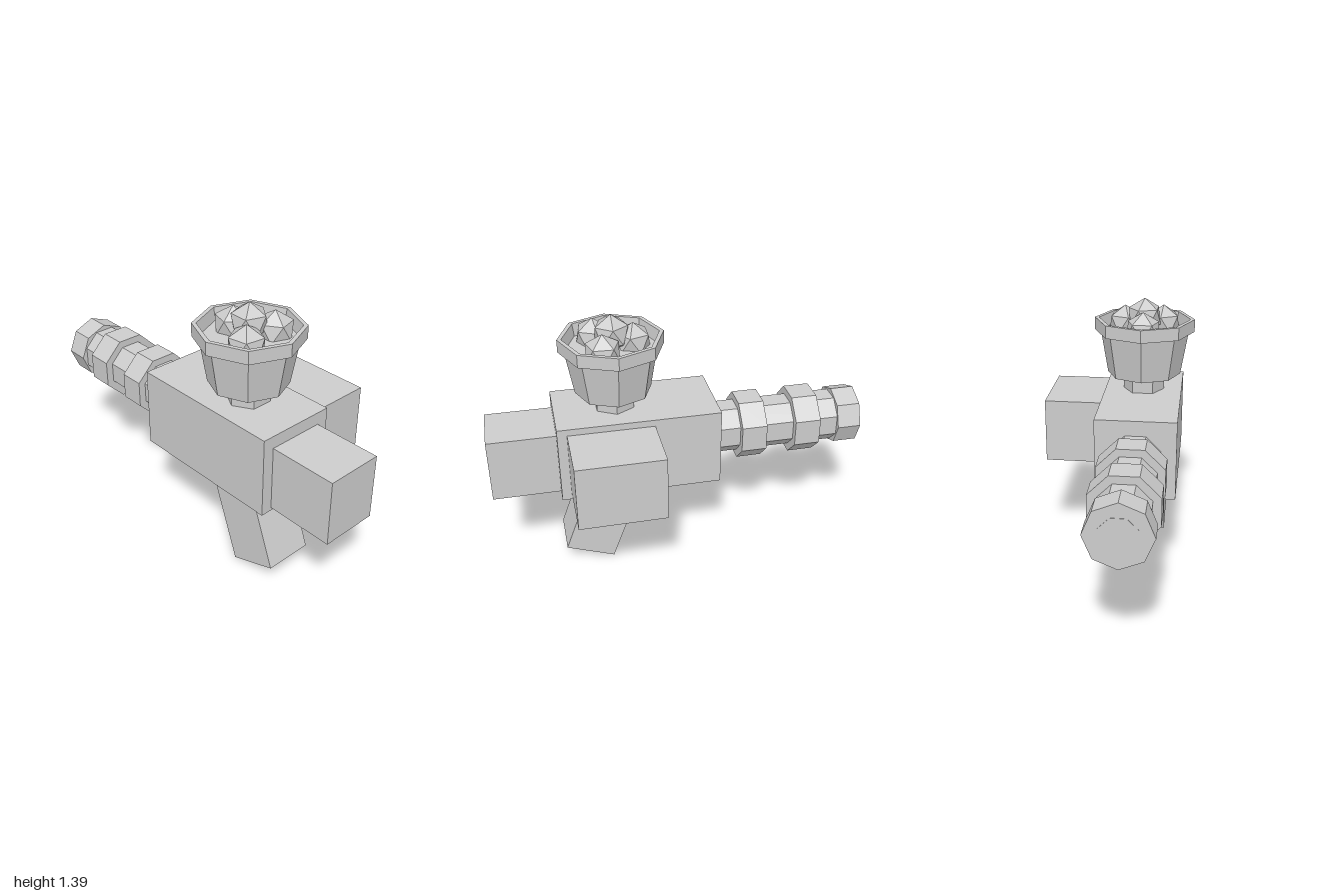
import * as THREE from 'three';

export function createModel() {
  const group = new THREE.Group();
  const grey = new THREE.MeshStandardMaterial({ color: 0xcccccc, flatShading: true });
  grey.name = 'plain grey';
  const cx = -0.128, barrelY = 0.692, cupZ = 0.333;

  const add = (name, geometry, x, y, z) => {
    const mesh = new THREE.Mesh(geometry, grey);
    mesh.name = name;
    mesh.position.set(x, y, z);
    group.add(mesh);
    return mesh;
  };
  // Box given by its limits on each axis
  const block = (name, [x0, x1], [y0, y1], [z0, z1]) =>
    add(name, new THREE.BoxGeometry(x1 - x0, y1 - y0, z1 - z0),
      (x0 + x1) / 2, (y0 + y1) / 2, (z0 + z1) / 2);

  // Body, stock and side box
  block('body', [-0.335, 0.08], [0.482, 0.9], [-0.19, 0.65]);
  block('stock', [-0.276, 0.02], [0.498, 0.835], [0.65, 1]);
  block('sideBox', [0.08, 0.392], [0.52, 0.865], [0.155, 0.6]);

  // Slanted grip, placed from the middle of its lower end
  const tilt = 0.356, gripLength = 0.494;
  const grip = add('grip', new THREE.BoxGeometry(0.256, gripLength, 0.272), cx,
    0.0525 + Math.cos(tilt) * gripLength / 2, 0.5175 - Math.sin(tilt) * gripLength / 2);
  grip.rotation.x = -tilt;

  // Eight-sided barrel sections along z: name, front, back, radius, turn
  const flat = Math.PI / 8;
  [
    ['barrel', -0.19, -0.86, 0.139, flat],
    ['barrelRing', -0.318, -0.453, 0.181, flat],
    ['barrelRing', -0.612, -0.75, 0.181, flat],
    ['muzzle', -0.86, -0.986, 0.158, 0],
    ['muzzlePlate', -0.984, -0.988, 0.094, flat],
  ].forEach(([name, z0, z1, r, turn]) => {
    const g = new THREE.CylinderGeometry(r, r, z0 - z1, 8);
    g.rotateY(turn).rotateX(-Math.PI / 2);
    add(name, g, cx, barrelY, (z0 + z1) / 2);
  });

  // Neck, tapered cup and raised rim
  add('neck', new THREE.CylinderGeometry(0.11, 0.11, 0.09, 6, 1, false, Math.PI / 2), cx, 0.945, cupZ);
  add('cup', new THREE.CylinderGeometry(0.237, 0.197, 0.235, 8), cx, 1.1075, cupZ);
  const rim = [[0.267, 0], [0.267, 0.067], [0.245, 0.067], [0.234, 0], [0.267, 0]]
    .map(([r, y]) => new THREE.Vector2(r, y));
  add('cupRim', new THREE.LatheGeometry(rim, 8), cx, 1.223, cupZ);

  // Faceted balls heaped in the cup, each with a corner pointing up
  const ball = new THREE.IcosahedronGeometry(0.096, 0);
  ball.rotateX(-Math.atan((1 + Math.sqrt(5)) / 2));
  [
    [cx, 1.304, 0.33, 0.3],
    [cx, 1.252, 0.222, 0.0],
    [-0.224, 1.252, 0.412, 0.5],
    [-0.02, 1.252, 0.39, 0.9],
  ].forEach(([x, y, z, turn]) => {
    add('ball', ball, x, y, z).rotation.y = turn;
  });

  return group;
}
